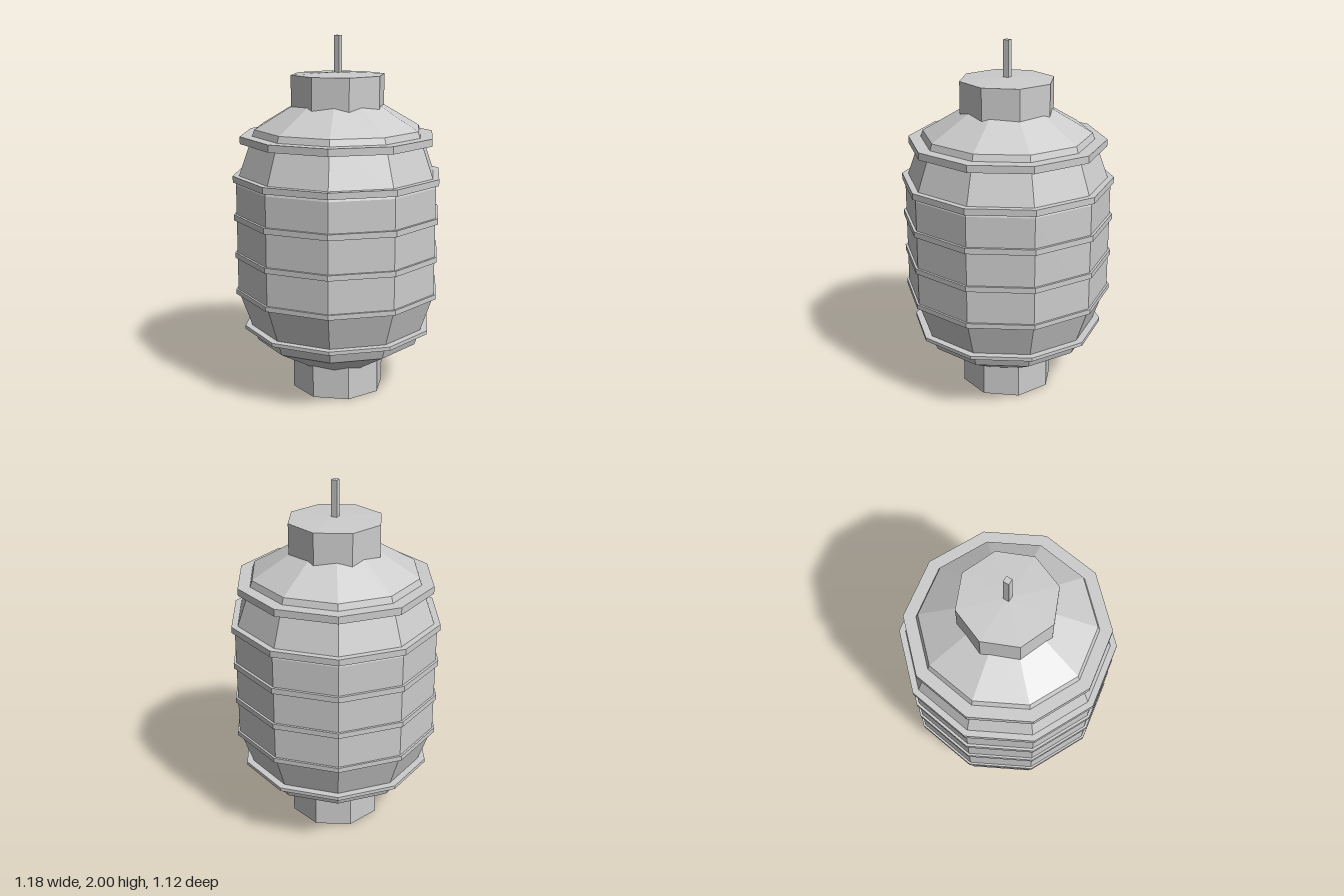
import * as THREE from 'three';

export function createModel() {
  const model = new THREE.Group();
  model.name = 'paperLantern';
  const grey = new THREE.MeshStandardMaterial({ color: 0xcccccc, flatShading: true });
  grey.name = 'lightGrey';

  // Faceted turned solid; a corner of the polygon points along +x
  const turned = (name, sides, profile) => {
    const points = profile.map(([r, y]) => new THREE.Vector2(r, y));
    const geometry = new THREE.LatheGeometry(points, sides).rotateY(Math.PI / 2);
    const mesh = new THREE.Mesh(geometry, grey);
    mesh.name = name;
    model.add(mesh);
  };

  // Ten-sided shade, mirrored about y = 0.9; its ends run inside the collars
  turned('shade', 10, [
    [0.176, 0.13], [0.465, 0.3], [0.571, 0.6],
    [0.571, 1.2], [0.465, 1.5], [0.176, 1.67],
  ]);

  // Ribs around the shade: radius, bottom, top
  const ribs = [
    [0.537, 0.37, 0.39], [0.583, 0.58, 0.607], [0.584, 0.79, 0.82],
    [0.586, 1.003, 1.035], [0.588, 1.215, 1.25], [0.545, 1.425, 1.465],
  ];
  ribs.forEach(([r, bottom, top], i) => {
    turned(`rib${i + 1}`, 10, [[0, bottom], [r, bottom], [r, top], [0, top]]);
  });

  // Octagonal collars; the upper one has a slightly peaked lid
  turned('lowerCollar', 8, [[0, 0], [0.262, 0], [0.262, 0.25], [0, 0.25]]);
  turned('upperCollar', 8, [[0, 1.55], [0.262, 1.55], [0.262, 1.79], [0, 1.802]]);

  // Hanging rod
  turned('hangingRod', 4, [[0, 1.78], [0.023, 1.78], [0.023, 2], [0, 2]]);

  return model;
}
